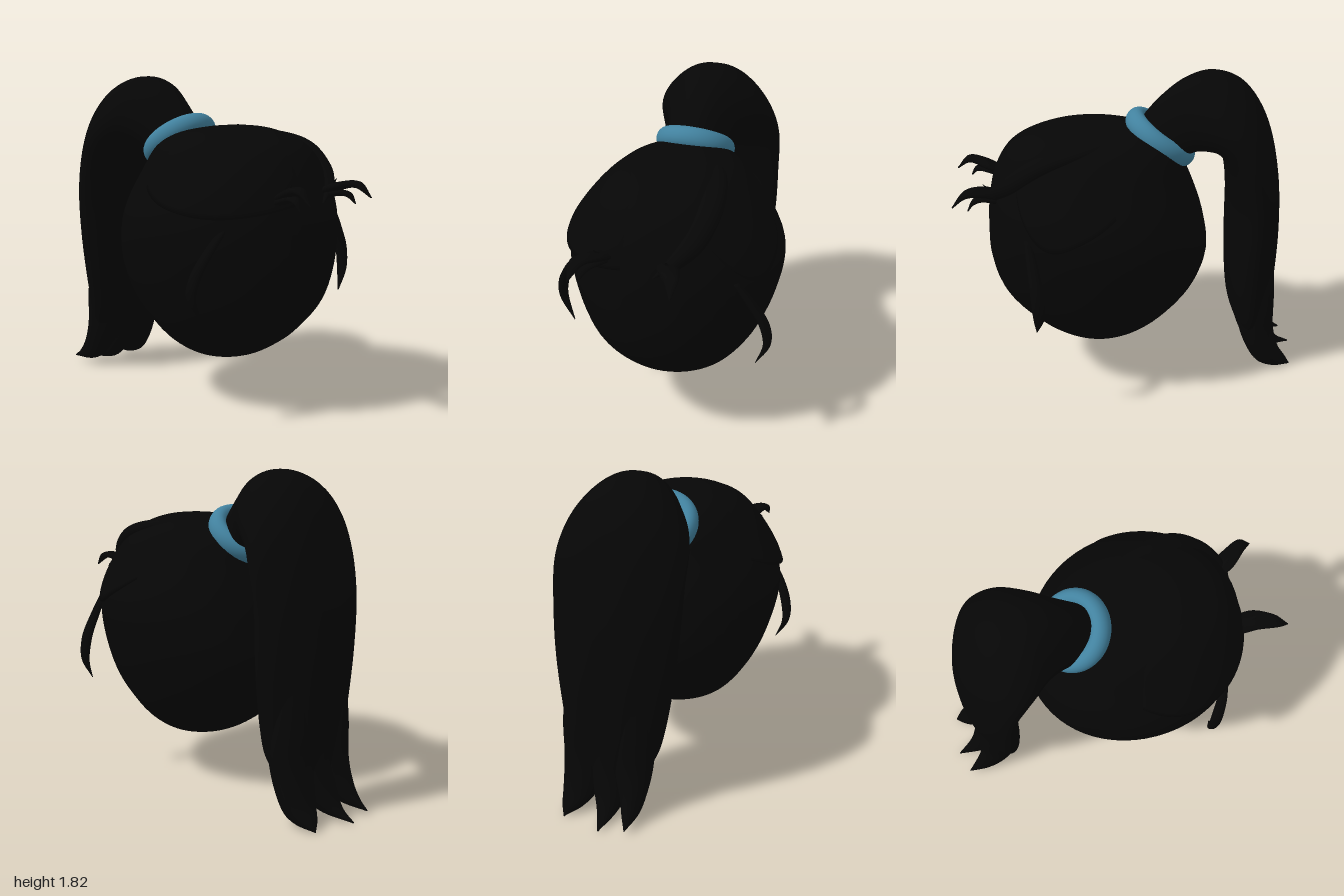
import * as THREE from 'three';

const hairMat = new THREE.MeshStandardMaterial({ color: 0x060606, side: THREE.DoubleSide });
const tieMat = new THREE.MeshStandardMaterial({ color: 0x42829f });

// Smooth interpolation through rows of section values
function smoothRows(rows) {
  const f = new THREE.CubicInterpolant(rows.map((_, i) => i), rows.flat(), rows[0].length);
  return t => Array.from(f.evaluate(t * (rows.length - 1)));
}

// Closed loft: point(section, angle) gives each ring; both ends are capped
function loft(rows, point, steps, sides) {
  const at = smoothRows(rows), pos = [], idx = [];
  for (let i = 0; i <= steps; i++) {
    const s = at(i / steps);
    for (let j = 0; j < sides; j++) pos.push(...point(s, (j / sides) * Math.PI * 2));
  }
  for (let i = 0; i < steps; i++) for (let j = 0; j < sides; j++) {
    const k = (j + 1) % sides, a = i * sides + j, b = i * sides + k;
    idx.push(a, b, a + sides, b, b + sides, a + sides);
  }
  for (const ring of [0, steps]) {
    const c = [0, 0, 0], n = pos.length / 3;
    for (let j = 0; j < sides; j++) for (let d = 0; d < 3; d++) c[d] += pos[(ring * sides + j) * 3 + d] / sides;
    pos.push(...c);
    for (let j = 0; j < sides; j++) {
      const a = ring * sides + j, b = ring * sides + (j + 1) % sides;
      idx.push(n, ...(ring ? [a, b] : [b, a]));
    }
  }
  // Turn the faces outward if the enclosed volume is negative
  const v = i => new THREE.Vector3().fromArray(pos, i * 3);
  let volume = 0;
  for (let i = 0; i < idx.length; i += 3) volume += v(idx[i]).dot(v(idx[i + 1]).cross(v(idx[i + 2])));
  if (volume < 0) idx.reverse();
  return finish(pos, idx);
}

function finish(pos, idx) {
  const g = new THREE.BufferGeometry();
  g.setAttribute('position', new THREE.Float32BufferAttribute(pos, 3));
  g.setIndex(idx);
  g.computeVertexNormals();
  return g;
}

// Head section: y, half width, front z, back z
const headRows = [
  [0.245, 0.01, 0.21, 0.19], [0.265, 0.17, 0.36, 0.04], [0.33, 0.295, 0.49, -0.1],
  [0.43, 0.39, 0.62, -0.23], [0.6, 0.49, 0.76, -0.365], [0.8, 0.56, 0.818, -0.43],
  [1.0, 0.595, 0.82, -0.405], [1.15, 0.565, 0.805, -0.36], [1.3, 0.475, 0.77, -0.3],
  [1.43, 0.37, 0.695, -0.24], [1.5, 0.28, 0.57, -0.12], [1.54, 0.16, 0.43, 0.08],
  [1.555, 0.01, 0.28, 0.26],
];
const headPoint = ([y, w, f, b], a, out = 0) => [
  -0.01 + Math.sin(a) * (w + out), y + out * 0.3, (f + b) / 2 + Math.cos(a) * ((f - b) / 2 + out)];

// Swept fringe panel lying over the head; hem rows are [angle in degrees, hem y]
function fringe(hemRows, thickness) {
  const hem = smoothRows(hemRows), head = smoothRows(headRows), pos = [], idx = [], U = 28, V = 24;
  const rowAt = y => {
    let lo = 0, hi = 1;
    for (let i = 0; i < 24; i++) { const m = (lo + hi) / 2; if (head(m)[0] < y) lo = m; else hi = m; }
    return head(lo);
  };
  for (let i = 0; i <= U; i++) {
    const [deg, hemY] = hem(i / U);
    for (let j = 0; j <= V; j++) {
      const v = Math.min(j / (V - 1), 1), edge = Math.pow(Math.sin(Math.PI * i / U), 0.4);
      const out = j === V ? -0.03 : -0.015 + (thickness + 0.015) * edge * Math.sqrt(v);
      pos.push(...headPoint(rowAt(1.55 + (hemY - 1.55) * v ** 1.4), deg * Math.PI / 180, out));
    }
  }
  for (let i = 0; i < U; i++) for (let j = 0; j < V; j++) {
    const a = i * (V + 1) + j, b = a + V + 1;
    idx.push(a, a + 1, b, b, a + 1, b + 1);
  }
  return finish(pos, idx);
}

// Lock section: centre x, half width, inner y, inner z, outer y, outer z
function lockPoint([x, w, yi, zi, yo, zo], a) {
  const s = Math.sin(a);
  return [x + Math.cos(a) * w, (yi + yo) / 2 + s * (yo - yi) / 2, (zi + zo) / 2 + s * (zo - zi) / 2];
}
// Ponytail section: full and flattened on the inside, narrower on the outside
function tailPoint(sec, a) {
  const p = lockPoint(sec, a), c = Math.cos(a);
  const side = Math.sign(c) * Math.abs(c) ** 0.8 * (1 - 0.3 * Math.sin(a));
  return [sec[0] + sec[1] * side, p[1], p[2]];
}

export function createModel() {
  const model = new THREE.Group();
  const add = (name, geometry, mat = hairMat) => {
    const m = new THREE.Mesh(geometry, mat);
    m.name = name;
    model.add(m);
    return m;
  };

  add('head', loft(headRows, headPoint, 60, 64));
  add('rightFringe', fringe([[-112, 1.25], [-85, 1.14], [-60, 1.1], [-35, 1.12], [-8, 1.17]], 0.025));
  add('leftFringe', fringe([[36, 1.36], [50, 1.14], [64, 1.05], [82, 1.12], [105, 1.25]], 0.014));

  // Raised lock arching from the tie down to the forehead
  add('foreheadLock', loft([
    [0.1, 0.05, 1.46, 0, 1.52, 0], [0.21, 0.07, 1.45, 0.25, 1.525, 0.27],
    [0.255, 0.075, 1.39, 0.47, 1.475, 0.53], [0.22, 0.07, 1.27, 0.63, 1.35, 0.71],
    [0.14, 0.045, 1.19, 0.73, 1.24, 0.8], [0.06, 0.005, 1.155, 0.78, 1.16, 0.81],
  ], lockPoint, 36, 20));

  // Hair tie, a rounded band tilted up and back
  const tieShape = new THREE.TorusGeometry(0.175, 0.05, 20, 56).scale(1, 1, 1.2);
  const tie = add('hairTie', tieShape, tieMat);
  tie.position.set(-0.03, 1.453, -0.16);
  tie.quaternion.setFromUnitVectors(new THREE.Vector3(0, 0, 1), new THREE.Vector3(0, 0.81, -0.59).normalize());

  // Ponytail body
  add('ponytail', loft([
    [-0.03, 0.16, 1.35, -0.27, 1.56, -0.05], [-0.03, 0.19, 1.39, -0.35, 1.68, -0.16],
    [-0.02, 0.24, 1.4, -0.41, 1.785, -0.3], [-0.02, 0.295, 1.39, -0.46, 1.82, -0.46],
    [-0.02, 0.33, 1.33, -0.51, 1.75, -0.63], [-0.01, 0.345, 1.22, -0.55, 1.56, -0.75],
    [-0.01, 0.34, 1.05, -0.57, 1.25, -0.825], [0, 0.325, 0.8, -0.57, 0.9, -0.85],
    [0.01, 0.285, 0.5, -0.58, 0.52, -0.84], [0.015, 0.24, 0.32, -0.61, 0.32, -0.825],
    [0.01, 0.14, 0.17, -0.69, 0.19, -0.81],
  ], tailPoint, 64, 64));

  // Three pointed ends that grow out of the body and curl backward
  for (const [name, x, w, lowX, lowW, tipX, tipY, tipZ] of [
    ['rightTailTip', -0.13, 0.115, -0.152, 0.07, -0.18, 0.025, -0.97],
    ['middleTailTip', 0.01, 0.11, -0.015, 0.085, -0.04, 0.005, -1],
    ['leftTailTip', 0.155, 0.13, 0.163, 0.1, 0.19, 0, -0.95],
  ]) {
    add(name, loft([
      [x, w * 0.7, 0.8, -0.61, 0.85, -0.8], [x, w, 0.5, -0.6, 0.52, -0.825],
      [x, w * 0.95, 0.27, -0.63, 0.29, -0.835],
      [lowX, lowW, 0.08 + tipY, -0.71, 0.13 + tipY, -0.875],
      [(lowX + tipX) / 2, lowW * 0.6, 0.015 + tipY, -0.8, 0.05 + tipY, -0.925],
      [tipX, 0.003, tipY, tipZ, tipY + 0.008, tipZ],
    ], lockPoint, 36, 24));
  }

  // Loose curved locks beside the face
  const sideLock = (name, path) => add(name, loft(path.map(([x, y, z, w, d]) =>
    [x, w, y, z - d, y, z + d]), lockPoint, 32, 16));
  sideLock('leftSideLock', [[0.43, 1.08, 0.6, 0.015, 0.02], [0.515, 0.95, 0.58, 0.025, 0.03],
    [0.58, 0.83, 0.565, 0.028, 0.035], [0.598, 0.7, 0.56, 0.02, 0.03], [0.545, 0.58, 0.575, 0.002, 0.003]]);
  sideLock('rightSideLock', [[-0.44, 1.08, 0.58, 0.015, 0.02], [-0.53, 0.95, 0.54, 0.025, 0.03],
    [-0.59, 0.82, 0.5, 0.028, 0.035], [-0.602, 0.7, 0.48, 0.02, 0.03], [-0.54, 0.57, 0.5, 0.002, 0.003]]);

  // Curled lashes, one long and two short on each side
  for (const [side, s] of [['left', 1], ['right', -1]]) {
    const lash = (n, rows) => add(side + 'Lash' + n, loft(rows.map(([x, w, ...r]) =>
      [-0.05 + s * x, w, ...r]), lockPoint, 20, 14));
    lash(1, [[0.17, 0.055, 1.18, 0.74, 1.23, 0.74], [0.2, 0.06, 1.22, 0.84, 1.265, 0.83],
      [0.245, 0.04, 1.235, 0.92, 1.27, 0.93], [0.265, 0.003, 1.185, 0.995, 1.19, 1]]);
    lash(2, [[0.18, 0.05, 1.16, 0.74, 1.21, 0.74], [0.2, 0.045, 1.19, 0.83, 1.225, 0.83],
      [0.225, 0.028, 1.185, 0.88, 1.21, 0.89], [0.24, 0.003, 1.15, 0.915, 1.155, 0.92]]);
    lash(3, [[0.17, 0.03, 1.2, 0.74, 1.23, 0.74], [0.18, 0.025, 1.22, 0.8, 1.25, 0.79],
      [0.19, 0.003, 1.28, 0.825, 1.283, 0.83]]);
  }
  return model;
}
